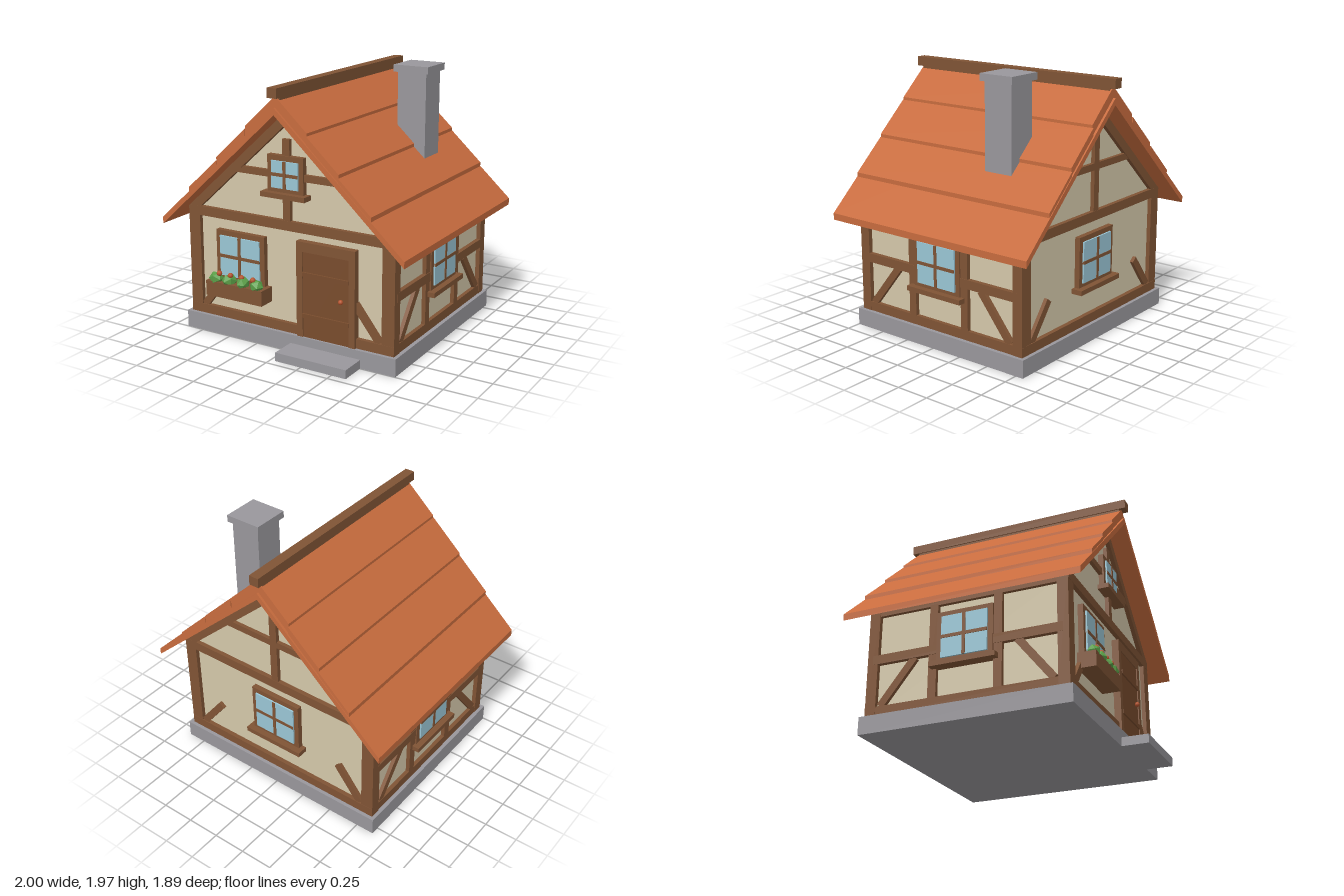
import * as THREE from 'three';

const material = (name, color, extra = {}) => {
  const m = new THREE.MeshStandardMaterial({ color, ...extra });
  m.name = name;
  return m;
};

export function createModel() {
  const plaster = material('plaster', 0xd4c8aa);
  const timber = material('timber', 0x805435);
  const doorWood = material('doorWood', 0x794c2d);
  const tile = material('roofTile', 0xc86c3e);
  const stone = material('stone', 0x99979c);
  const glass = material('glass', 0x9ac6d5);
  const leaf = material('leaf', 0x5a9e47, { flatShading: true });
  const petal = material('petal', 0xb8552f);

  const model = new THREE.Group();
  model.name = 'cottage';
  const ZC = -0.033, WALL_X = 0.83, WALL_Z = 0.72, SLOPE = 0.91;

  const mesh = (parent, name, geometry, mat) => {
    const m = new THREE.Mesh(geometry, mat);
    m.name = name;
    parent.add(m);
    return m;
  };
  // Box given by its limits on each axis
  const box = (parent, name, mat, x0, x1, y0, y1, z0, z1) => {
    const m = mesh(parent, name, new THREE.BoxGeometry(x1 - x0, y1 - y0, z1 - z0), mat);
    m.position.set((x0 + x1) / 2, (y0 + y1) / 2, (z0 + z1) / 2);
    return m;
  };
  // Slanted timber between two points of a wall face
  const beam = (parent, name, x0, y0, x1, y1, width, depth = 0.03) => {
    const m = mesh(parent, name,
      new THREE.BoxGeometry(Math.hypot(x1 - x0, y1 - y0), width, depth + 0.01), timber);
    m.position.set((x0 + x1) / 2, (y0 + y1) / 2, depth / 2 - 0.005);
    m.rotation.z = Math.atan2(y1 - y0, x1 - x0);
  };
  // Profile in the xy plane, extruded evenly about the house's centre in z
  const prism = (name, mat, points, halfDepth) => {
    const shape = new THREE.Shape(points.map(([x, y]) => new THREE.Vector2(x, y)));
    const geometry = new THREE.ExtrudeGeometry(shape, { depth: halfDepth * 2, bevelEnabled: false });
    return mesh(model, name, geometry.translate(0, 0, ZC - halfDepth), mat);
  };
  // Window with frame, panes, glazing bars and an optional sill
  const addWindow = (parent, cx, y0, y1, halfWidth, sill) => {
    const w = new THREE.Group();
    w.name = 'window';
    w.position.x = cx;
    parent.add(w);
    const b = 0.038, midY = (y0 + y1) / 2;
    box(w, 'windowFrame', timber, -halfWidth - b, halfWidth + b, y0 - b, y1 + b, -0.01, 0.04);
    box(w, 'windowGlass', glass, -halfWidth, halfWidth, y0, y1, 0.03, 0.052);
    box(w, 'glazingBar', timber, -0.012, 0.012, y0, y1, 0.04, 0.057);
    box(w, 'glazingBar', timber, -halfWidth, halfWidth, midY - 0.012, midY + 0.012, 0.04, 0.056);
    if (sill) {
      box(w, 'windowSill', timber, -halfWidth - 0.073, halfWidth + 0.073,
        y0 - 0.066, y0 - 0.03, -0.01, 0.085);
    }
  };
  // Group whose local z = 0 is the surface of one wall
  const wallFace = (name, x, z, turn) => {
    const g = new THREE.Group();
    g.name = name;
    g.position.set(x, 0, z);
    g.rotation.y = turn;
    model.add(g);
    return g;
  };

  // Stone base and doorstep
  box(model, 'foundation', stone, -0.89, 0.89, 0, 0.13, ZC - 0.78, ZC + 0.78);
  box(model, 'doorstep', stone, 0.04, 0.615, 0, 0.065, 0.7, 0.945);

  // Plastered body with gables
  prism('walls', plaster, [[-WALL_X, 0.13], [WALL_X, 0.13], [WALL_X, 0.935],
    [0, 1.69], [-WALL_X, 0.935]], WALL_Z);

  // Corner posts
  for (const sx of [-1, 1]) for (const sz of [-1, 1]) {
    const post = mesh(model, 'cornerPost', new THREE.BoxGeometry(0.098, 0.82, 0.08), timber);
    post.position.set(sx * 0.814, 0.54, ZC + sz * 0.711);
  }

  // Gable walls
  const front = wallFace('frontWall', 0, ZC + WALL_Z, 0);
  const back = wallFace('backWall', 0, ZC - WALL_Z, Math.PI);
  for (const face of [front, back]) {
    box(face, 'sillBeam', timber, -0.862, 0.862, 0.13, 0.2, -0.01, 0.033);
    box(face, 'tieBeam', timber, -0.862, 0.862, 0.895, 0.965, -0.01, 0.033);
    box(face, 'collarBeam', timber, -0.43, 0.43, 1.265, 1.315, -0.01, 0.028);
    box(face, 'kingPost', timber, -0.03, 0.03, 0.96, 1.55, -0.01, 0.03);
    for (const s of [-1, 1]) {
      beam(face, 'rakeBeam', 0, 1.695, s * 0.84, 1.695 - 0.84 * SLOPE, 0.066, 0.032);
      beam(face, 'brace', s * 0.745, 0.2, s * 0.55, 0.45, 0.055, 0.028);
    }
  }
  addWindow(front, 0, 1.2, 1.395, 0.11, true);
  addWindow(front, -0.4, 0.47, 0.775, 0.173, false);
  addWindow(back, 0, 0.468, 0.775, 0.173, true);

  // Side walls
  for (const s of [-1, 1]) {
    const face = wallFace(s > 0 ? 'leftWall' : 'rightWall', s * WALL_X, ZC, s * Math.PI / 2);
    box(face, 'sillBeam', timber, -0.71, 0.71, 0.13, 0.2, -0.01, 0.03);
    box(face, 'topPlate', timber, -0.71, 0.71, 0.88, 0.945, -0.01, 0.028);
    box(face, 'midRail', timber, -0.71, 0.71, 0.513, 0.58, -0.01, 0.034);
    for (const t of [-1, 1]) {
      box(face, 'sidePost', timber, t * 0.243 - 0.031, t * 0.243 + 0.031, 0.2, 0.89, -0.01, 0.03);
      beam(face, 'brace', t * 0.64, 0.2, t * 0.385, 0.52, 0.055, 0.028);
    }
    addWindow(face, 0, 0.468, 0.775, 0.173, true);
  }

  // Door
  const door = new THREE.Group();
  door.name = 'door';
  front.add(door);
  box(door, 'doorJamb', timber, 0.09, 0.14, 0.13, 0.84, -0.01, 0.052);
  box(door, 'doorJamb', timber, 0.515, 0.565, 0.13, 0.84, -0.01, 0.052);
  box(door, 'doorLintel', timber, 0.14, 0.515, 0.768, 0.84, -0.01, 0.052);
  box(door, 'doorLeaf', doorWood, 0.14, 0.515, 0.13, 0.768, -0.01, 0.044);
  for (const y of [0.28, 0.59]) box(door, 'doorBatten', doorWood, 0.14, 0.515, y, y + 0.03, 0.03, 0.057);
  mesh(door, 'doorKnob', new THREE.SphereGeometry(0.018, 12, 8), petal).position.set(0.457, 0.457, 0.06);

  // Flower box
  const planter = new THREE.Group();
  planter.name = 'flowerBox';
  model.add(planter);
  box(planter, 'planter', timber, -0.647, -0.155, 0.327, 0.44, 0.68, 0.822);
  [-0.58, -0.463, -0.342, -0.224].forEach((x, i) => {
    const bush = mesh(planter, 'bush', new THREE.IcosahedronGeometry(0.06, 0), leaf);
    bush.position.set(x, 0.457, 0.782);
    bush.scale.set(1, 0.85, 0.85);
    bush.rotation.y = i * 0.9;
    mesh(planter, 'flower', new THREE.SphereGeometry(0.021, 8, 6), petal)
      .position.set(-0.547 + i * 0.099, 0.5, 0.79);
  });

  // Roof slab, then overlapping tile rows on both slopes
  prism('roofSlab', tile, [[-1, 0.83], [0, 1.74], [1, 0.83], [1, 0.88], [0, 1.79], [-1, 0.88]], 0.89);
  [[0.75, 1.822, 0.885], [0.5, 1.847, 0.879], [0.25, 1.868, 0.872]].forEach(([outer, top, half]) => {
    const inner = outer - 0.25, under = 1.765;
    for (const s of [-1, 1]) {
      prism('tileRow', tile, [
        [s * outer, under - SLOPE * outer], [s * outer, top - SLOPE * outer],
        [s * inner, top - SLOPE * inner], [s * inner, under - SLOPE * inner],
      ], half);
    }
  });
  box(model, 'ridgeBeam', timber, -0.038, 0.038, 1.858, 1.928, ZC - 0.911, ZC + 0.911);
  // Filler under the ridge beam, where the slopes fall away
  box(model, 'ridgeBeamFoot', timber, -0.03, 0.03, 1.83, 1.86, ZC - 0.86, ZC + 0.86);

  // Chimney
  box(model, 'chimneyStack', stone, 0.358, 0.588, 1.22, 1.93, -0.478, -0.248);
  box(model, 'chimneyCap', stone, 0.333, 0.613, 1.918, 1.97, -0.503, -0.223);

  return model;
}
